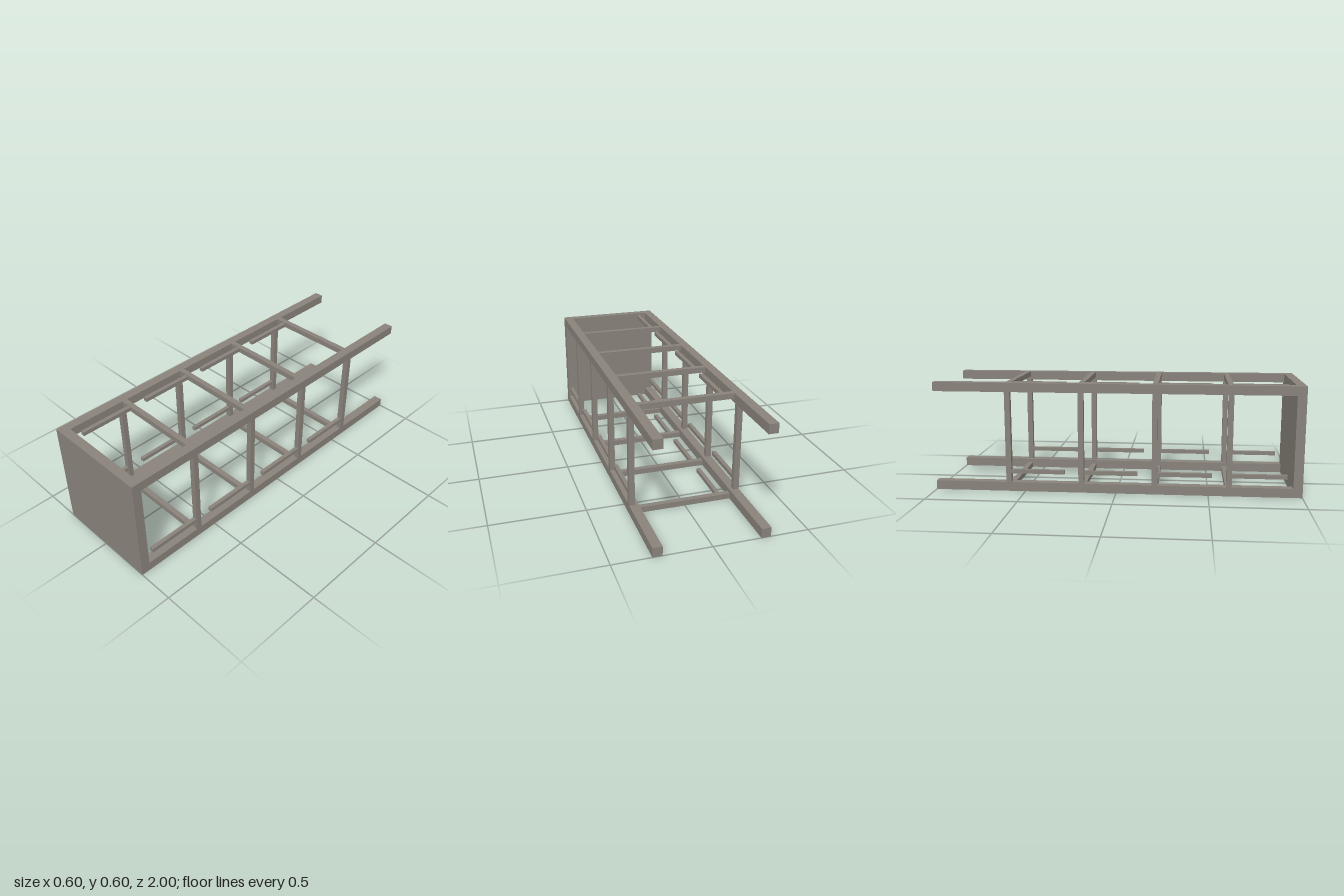
import * as THREE from 'three';

export function createModel() {
  const model = new THREE.Group();
  model.name = 'squareTruss';
  const steel = new THREE.MeshStandardMaterial({ color: 0x88827a });
  steel.name = 'grey steel';

  const HALF = 0.3;    // half of the square section
  const RAIL = 0.05;   // rail and end plate thickness
  const BAR = 0.03;    // frame bar thickness
  const ROD = 0.022;   // small rod thickness
  const inner = HALF - RAIL;
  const barAt = HALF - BAR / 2;

  function box(name, parent, w, h, d, x, y, z) {
    const mesh = new THREE.Mesh(new THREE.BoxGeometry(w, h, d), steel);
    mesh.name = name;
    mesh.position.set(x, y + HALF, z);
    parent.add(mesh);
  }

  // Closed end
  box('endPlate', model, 0.6, 0.6, RAIL, 0, 0, 1 - RAIL / 2);

  // Four long corner rails
  const railAt = HALF - RAIL / 2;
  for (const sx of [-1, 1])
    for (const sy of [-1, 1])
      box('cornerRail', model, RAIL, RAIL, 2 - RAIL, sx * railAt, sy * railAt, -RAIL / 2);

  // Square frames, each with four rods reaching toward the closed end
  for (const z of [-0.59, -0.19, 0.21, 0.61]) {
    const bay = new THREE.Group();
    bay.name = 'bayFrame';
    model.add(bay);
    for (const s of [-1, 1]) {
      box('crossbar', bay, 2 * inner, BAR, BAR, 0, s * barAt, z);
      box('upright', bay, BAR, 2 * inner, BAR, s * barAt, 0, z);
      box('horizontalFaceRod', bay, ROD, ROD, 0.3, -0.195, s * barAt, z + 0.158);
      box('sideFaceRod', bay, ROD, ROD, 0.3, s * barAt, -0.19, z + 0.158);
    }
  }
  return model;
}
